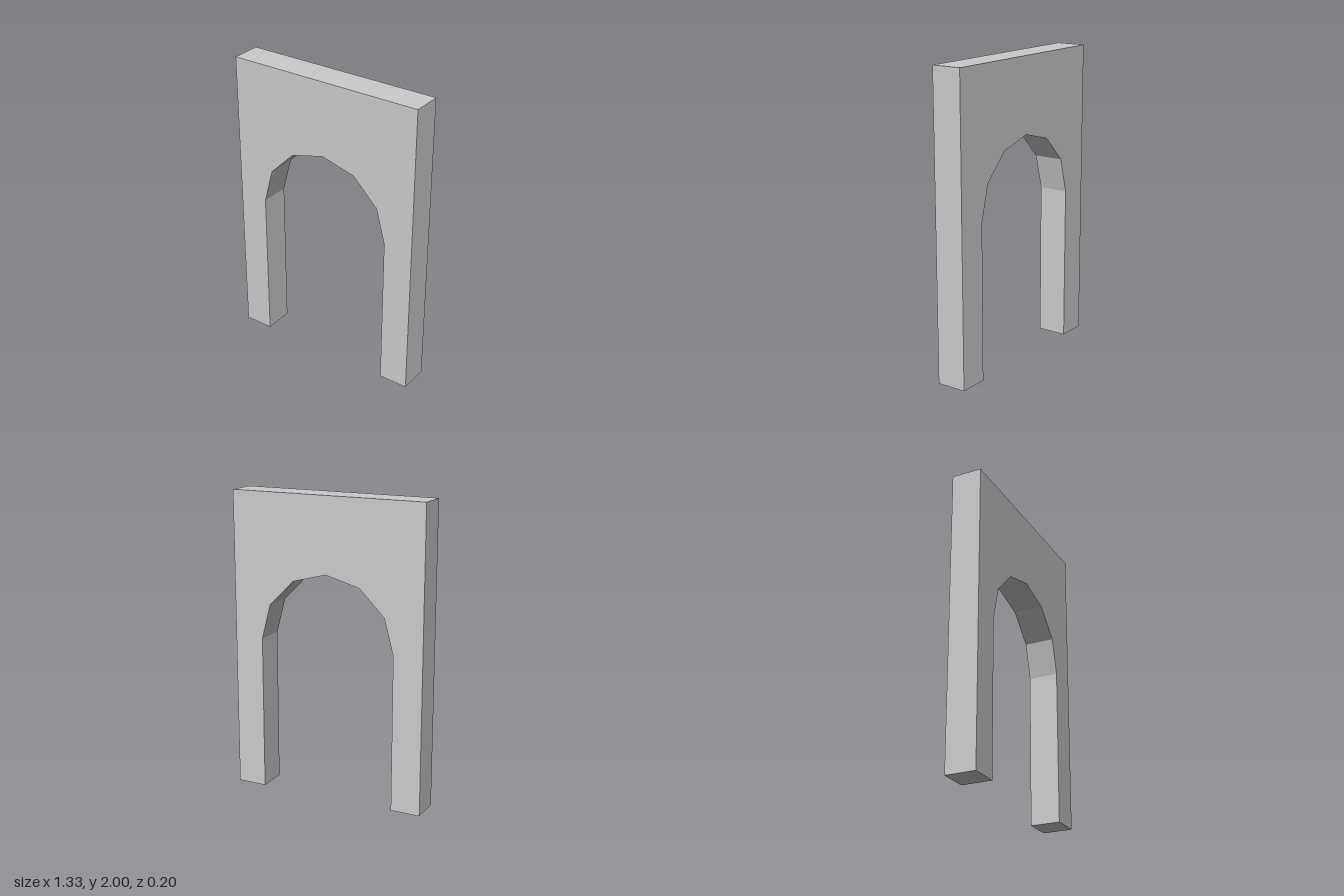
import * as THREE from 'three';

const HALF_WIDTH = 0.665, HEIGHT = 2, DEPTH = 0.2;
const RADIUS = 0.467, SPRING_Y = 1.035, ARCH_SEGMENTS = 6;

export function createModel() {
  const group = new THREE.Group();
  group.name = 'archway';

  // Wall outline, with the faceted arch opening cut up from the ground
  const outline = new THREE.Shape();
  outline.moveTo(-HALF_WIDTH, 0);
  outline.lineTo(-RADIUS, 0);
  for (let i = 0; i <= ARCH_SEGMENTS; i++) {
    const a = Math.PI * (1 - i / ARCH_SEGMENTS);
    outline.lineTo(RADIUS * Math.cos(a), SPRING_Y + RADIUS * Math.sin(a));
  }
  outline.lineTo(RADIUS, 0);
  outline.lineTo(HALF_WIDTH, 0);
  outline.lineTo(HALF_WIDTH, HEIGHT);
  outline.lineTo(-HALF_WIDTH, HEIGHT);
  outline.closePath();

  // Extruded wall, centred front to back
  const geometry = new THREE.ExtrudeGeometry(outline, { depth: DEPTH, bevelEnabled: false });
  geometry.translate(0, 0, -DEPTH / 2);

  const material = new THREE.MeshStandardMaterial({ color: 0xcccccc, flatShading: true });
  const wall = new THREE.Mesh(geometry, material);
  wall.name = 'archedWall';
  group.add(wall);
  return group;
}
